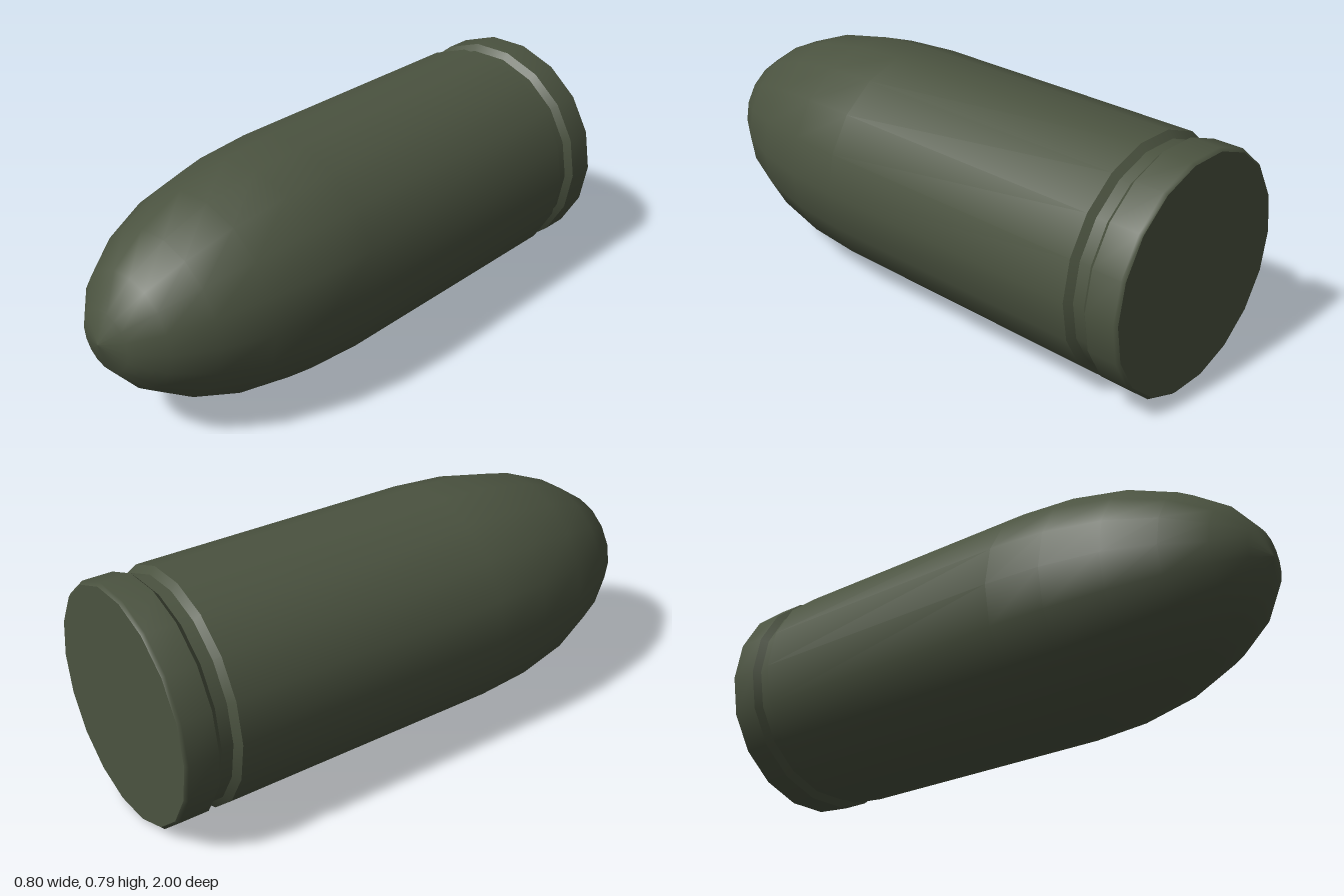
import * as THREE from 'three';

const SIDES = 18;
const AXIS_HEIGHT = 0.394;

export function createModel() {
  const group = new THREE.Group();
  group.name = 'bullet';
  const green = new THREE.MeshStandardMaterial({ color: 0x4b5340 });
  green.name = 'olive green';

  // Revolves [radius, z] points, listed from rear to front, around the long axis
  const addRing = (name, points) => {
    const profile = points.map(([r, z]) => new THREE.Vector2(r, z));
    const geometry = new THREE.LatheGeometry(profile, SIDES, Math.PI / 2);
    geometry.rotateX(Math.PI / 2);
    const mesh = new THREE.Mesh(geometry, green);
    mesh.name = name;
    mesh.position.y = AXIS_HEIGHT;
    group.add(mesh);
  };

  // Flat rear, bevelled rim and groove: separate rings keep the edges sharp
  addRing('base', [[0, -1], [0.39, -1]]);
  addRing('rim', [[0.39, -1], [0.4, -0.99], [0.4, -0.89]]);
  addRing('grooveRear', [[0.4, -0.89], [0.378, -0.87]]);
  addRing('grooveFloor', [[0.378, -0.87], [0.378, -0.83]]);
  addRing('grooveFront', [[0.378, -0.83], [0.4, -0.81]]);

  // Straight casing flowing smoothly into the rounded nose
  addRing('body', [
    [0.4, -0.81], [0.4, 0.2], [0.387, 0.4], [0.348, 0.6],
    [0.283, 0.765], [0.2, 0.89], [0.104, 0.97], [0, 1],
  ]);

  return group;
}
